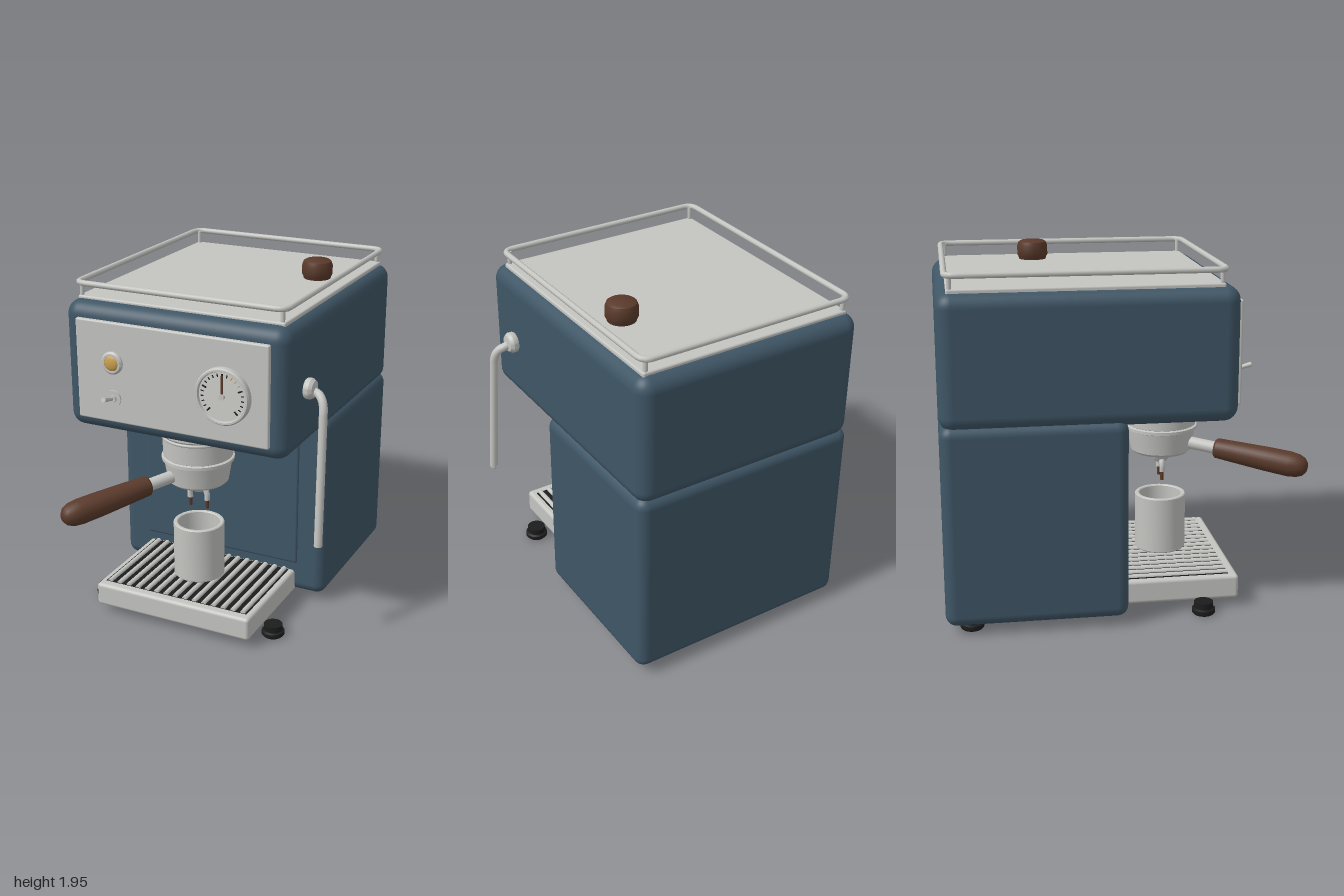
import * as THREE from 'three';
import { RoundedBoxGeometry } from 'three/addons/geometries/RoundedBoxGeometry.js';
import { toCreasedNormals } from 'three/addons/utils/BufferGeometryUtils.js';

const V = (x, y, z) => new THREE.Vector3(x, y, z);

export function createModel() {
  const root = new THREE.Group();
  root.name = 'espressoMachine';
  const paint = (name, color) => {
    const m = new THREE.MeshStandardMaterial({ color });
    m.name = name;
    return m;
  };
  const blue = paint('blue enamel', 0x3f5666);
  const steel = paint('steel', 0xc4c4c1);
  const wood = paint('dark wood', 0x5a3a2b);
  const black = paint('black rubber', 0x1c1c1c);
  const amber = paint('amber', 0xc9a050);
  const dial = paint('dial face', 0xcdcdc9);

  const add = (name, geo, mat, x = 0, y = 0, z = 0, parent = root) => {
    const m = new THREE.Mesh(geo, mat);
    m.name = name;
    m.position.set(x, y, z);
    parent.add(m);
    return m;
  };
  // Rounded box given by its limits on each axis
  const box = (name, mat, [x0, x1], [y0, y1], [z0, z1], r) =>
    add(name, new RoundedBoxGeometry(x1 - x0, y1 - y0, z1 - z0, 5, r), mat,
      (x0 + x1) / 2, (y0 + y1) / 2, (z0 + z1) / 2);
  const lathe = (points, sides = 40) => toCreasedNormals(
    new THREE.LatheGeometry(points.map(p => new THREE.Vector2(...p)), sides), 0.6);
  // Tapered rod between two points
  const rod = (name, mat, a, b, r0, r1 = r0) => {
    const d = b.clone().sub(a);
    const m = add(name, new THREE.CylinderGeometry(r1, r0, d.length(), 20), mat);
    m.position.copy(a).addScaledVector(d, 0.5);
    m.quaternion.setFromUnitVectors(V(0, 1, 0), d.normalize());
    return m;
  };
  // Cylinder facing forward
  const disc = (name, mat, r, x, y, z0, z1, rFront = r) => {
    const geo = new THREE.CylinderGeometry(rFront, r, z1 - z0, 40).rotateX(Math.PI / 2);
    return add(name, geo, mat, x, y, (z0 + z1) / 2);
  };
  const cx = -0.08, gz = 0.257;

  // Body
  box('body', blue, [-0.735, 0.58], [0.05, 1.145], [-1, -0.025], 0.06);
  box('head', blue, [-0.735, 0.58], [1.11, 1.825], [-1, 0.555], 0.08);
  box('backPanel', blue, [-0.57, 0.415], [0.235, 1.08], [-0.045, -0.015], 0.014);
  box('controlPanel', steel, [-0.645, 0.49], [1.185, 1.745], [0.53, 0.578], 0.01);
  box('cupShelf', steel, [-0.685, 0.53], [1.8, 1.84], [-0.94, 0.475], 0.01);

  // Feet
  for (const x of [-0.615, 0.457]) for (const z of [0.405, -0.86]) {
    add('foot', lathe([[0, 0], [0.055, 0], [0.064, 0.01], [0.064, 0.03], [0.052, 0.036],
      [0.052, 0.07], [0, 0.07]], 28), black, x, 0, z);
  }

  // Cup rail
  const rail = new THREE.CurvePath();
  const [x0, x1, z0, z1, c] = [-0.694, 0.534, -0.945, 0.48, 0.06];
  const corners = [[x0, z0, 0, 1], [x0, z1, 1, 0], [x1, z1, 0, -1], [x1, z0, -1, 0]];
  corners.forEach(([x, z, dx, dz], i) => {
    const [px, pz, ix, iz] = corners[(i + 3) % 4];
    const enter = V(x - ix * c, 1.91, z - iz * c), leave = V(x + dx * c, 1.91, z + dz * c);
    rail.add(new THREE.LineCurve3(V(px + ix * c, 1.91, pz + iz * c), enter));
    rail.add(new THREE.QuadraticBezierCurve3(enter, V(x, 1.91, z), leave));
  });
  add('cupRail', new THREE.TubeGeometry(rail, 240, 0.016, 10, true), steel);
  for (const x of [-0.668, 0.508]) for (const z of [-0.922, 0.457])
    rod('railPost', steel, V(x, 1.82, z), V(x, 1.91, z), 0.012);

  // Top knob
  add('topKnob', lathe([[0, 1.838], [0.075, 1.838], [0.08, 1.855], [0.086, 1.865], [0.086, 1.915],
    [0.078, 1.937], [0.066, 1.945], [0, 1.945]]), wood, 0.333, 0, -0.425);

  // Pressure gauge
  const gx = 0.24, gy = 1.445;
  add('gaugeBezel', lathe([[0.134, 0], [0.155, 0], [0.155, 0.03], [0.148, 0.04], [0.138, 0.04],
    [0.134, 0.03], [0.134, 0]], 48).rotateX(Math.PI / 2), steel, gx, gy, 0.575);
  disc('gaugeFace', dial, 0.136, gx, gy, 0.575, 0.6);
  for (let i = 0; i <= 20; i++) {
    const a = Math.PI * (1.25 - 1.5 * i / 20), long = i % 5 === 0;
    const len = long ? 0.026 : 0.016, r = 0.124 - len / 2;
    const tick = add('gaugeTick', new THREE.BoxGeometry(len, long ? 0.008 : 0.005, 0.004),
      i >= 12 && i <= 14 ? amber : black, gx + r * Math.cos(a), gy + r * Math.sin(a), 0.601);
    tick.rotation.z = a;
  }
  add('gaugeNeedle', new THREE.BoxGeometry(0.01, 0.13, 0.005), wood, gx, gy + 0.05, 0.605);
  disc('gaugeHub', steel, 0.016, gx, gy, 0.6, 0.615);

  // Indicator lamp and toggle switch
  add('lampBezel', lathe([[0.042, 0], [0.063, 0], [0.063, 0.012], [0.053, 0.022], [0.042, 0.022],
    [0.042, 0]]).rotateX(Math.PI / 2), steel, -0.42, 1.525, 0.575);
  const lens = add('lampLens', new THREE.SphereGeometry(0.045, 28, 14), amber, -0.42, 1.525, 0.588);
  lens.scale.z = 0.4;
  disc('switchPlate', steel, 0.046, -0.42, 1.325, 0.575, 0.587);
  disc('switchCollar', steel, 0.022, -0.42, 1.325, 0.585, 0.6);
  rod('switchLever', steel, V(-0.42, 1.325, 0.59), V(-0.42, 1.35, 0.685), 0.009, 0.014);

  // Brew group and filter holder
  add('brewGroup', lathe([[0, 1.13], [0.209, 1.13], [0.209, 1.085], [0.2, 1.075], [0.196, 0.95],
    [0.188, 0.945], [0, 0.945]].reverse()), steel, cx, 0, gz);
  add('filterHolder', lathe([[0, 0.785], [0.155, 0.785], [0.172, 0.8], [0.192, 0.92], [0.205, 0.925],
    [0.205, 0.942], [0.19, 0.948], [0, 0.948]]), steel, cx, 0, gz);
  add('groupBand', new THREE.TorusGeometry(0.198, 0.009, 10, 48).rotateX(Math.PI / 2), steel, cx, 1.065, gz);
  add('spoutHub', lathe([[0, 0.715], [0.03, 0.72], [0.055, 0.745], [0.065, 0.79], [0, 0.79]]), steel, cx, 0, gz);
  for (const s of [-1, 1]) {
    const path = new THREE.CatmullRomCurve3([V(cx + s * 0.015, 0.745, gz), V(cx + s * 0.042, 0.73, gz),
      V(cx + s * 0.053, 0.705, gz), V(cx + s * 0.053, 0.67, gz)]);
    add('spout', new THREE.TubeGeometry(path, 16, 0.016, 12), steel);
    rod('spoutTip', wood, V(cx + s * 0.053, 0.62, gz), V(cx + s * 0.053, 0.675, gz), 0.01);
  }

  // Angled handle
  const along = (d, y) => V(cx - 0.5 * d, y, gz + 0.866 * d);
  rod('handleNeck', steel, along(0.14, 0.85), along(0.36, 0.828), 0.035);
  const start = along(0.325, 0.832), end = along(0.855, 0.775);
  const grip = add('handleGrip', lathe([[0, 0], [0.046, 0], [0.056, 0.01], [0.06, 0.1], [0.068, 0.3],
    [0.07, 0.43], [0.064, 0.48], [0.05, 0.512], [0.028, 0.53], [0, 0.534]], 28), wood);
  grip.position.copy(start);
  grip.quaternion.setFromUnitVectors(V(0, 1, 0), end.sub(start).normalize());

  // Steam wand
  add('wandJoint', lathe([[0, 0], [0.05, 0], [0.057, 0.012], [0.057, 0.035], [0.045, 0.052], [0, 0.062]])
    .rotateZ(-Math.PI / 2), steel, 0.575, 1.45, 0.3);
  const wand = new THREE.CurvePath();
  const [a, b, d, e] = [V(0.61, 1.445, 0.3), V(0.65, 1.43, 0.305), V(0.694, 1.34, 0.342), V(0.711, 0.61, 0.405)];
  wand.add(new THREE.LineCurve3(a, b));
  wand.add(new THREE.QuadraticBezierCurve3(b, V(0.692, 1.41, 0.33), d));
  wand.add(new THREE.LineCurve3(d, e));
  add('steamWand', new THREE.TubeGeometry(wand, 80, 0.023, 14), steel);
  rod('wandTip', steel, V(0.711, 0.62, 0.404), V(0.711, 0.605, 0.406), 0.023, 0.02);

  // Drip tray with round bars
  box('dripTray', steel, [-0.56, 0.4], [0.05, 0.185], [-0.06, 0.615], 0.02);
  add('trayWell', new THREE.BoxGeometry(0.89, 0.004, 0.58), black, cx, 0.185, 0.272);
  for (let i = 0; i < 15; i++) {
    const x = cx + (i - 7) * 0.06;
    rod('trayBar', steel, V(x, 0.187, -0.015), V(x, 0.187, 0.56), 0.015);
  }

  // Cup
  add('cup', lathe([[0, 0.203], [0.138, 0.203], [0.145, 0.21], [0.145, 0.525], [0.14, 0.53], [0.125, 0.53],
    [0.12, 0.525], [0.12, 0.235], [0, 0.235]], 48), steel, cx, 0, gz);

  return root;
}
